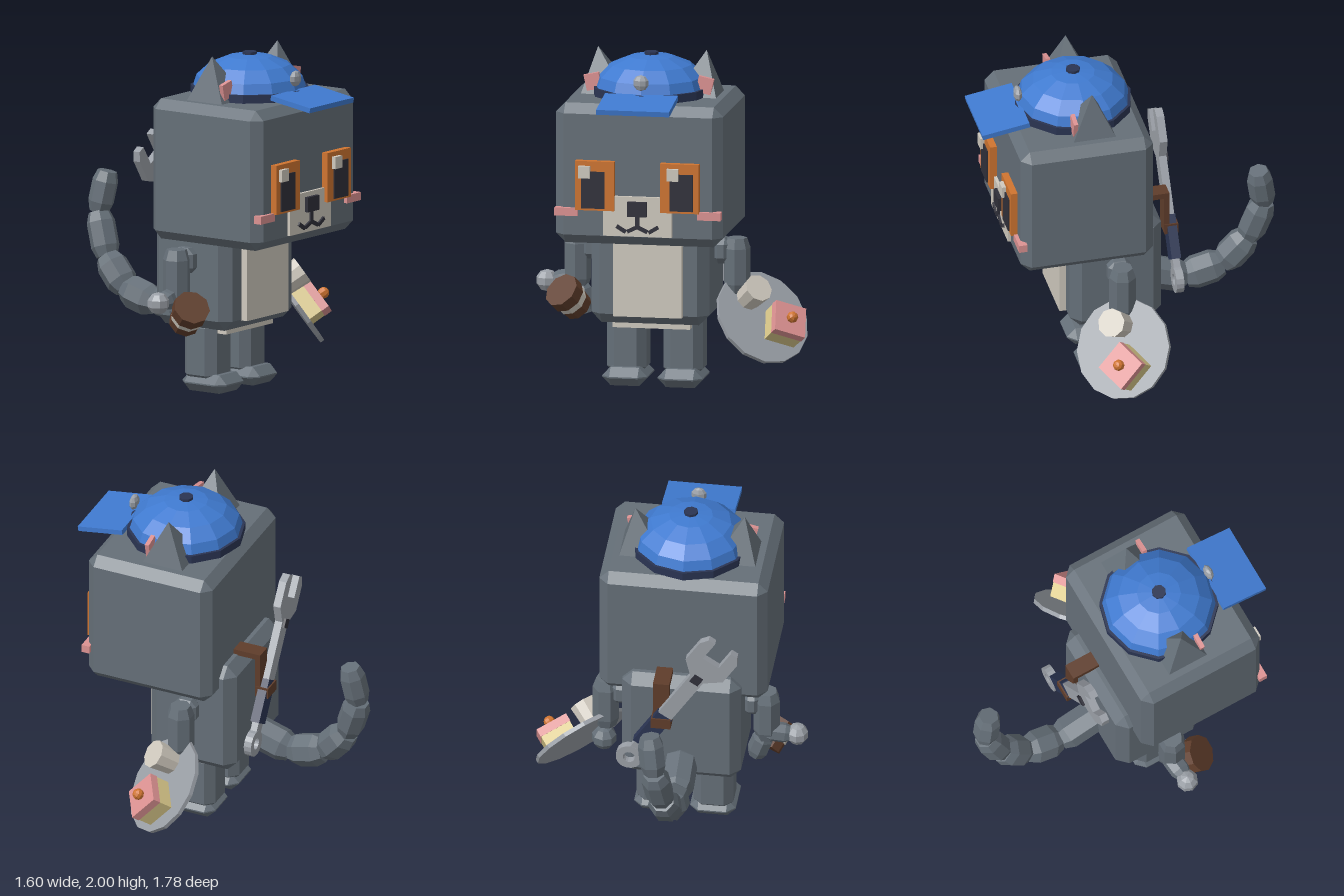
import * as THREE from 'three';
import { ConvexGeometry } from 'three/addons/geometries/ConvexGeometry.js';

const mat = (name, color) => {
  const m = new THREE.MeshStandardMaterial({ color, flatShading: true });
  m.name = name;
  return m;
};
const CX = -0.087; // middle of the body
const V = (x, y, z) => new THREE.Vector3(x, y, z);

export function createModel() {
  const M = {
    fur: mat('slate fur', 0x656f78), blue: mat('cap blue', 0x3f7ad0), navy: mat('navy', 0x2a3452),
    orange: mat('orange', 0xcf7430), dark: mat('charcoal', 0x30303a), cream: mat('cream', 0xcfc9be),
    pink: mat('pink', 0xdc9292), steel: mat('steel', 0x9a9fa6), brown: mat('brown', 0x5f3d2b),
    yellow: mat('sponge yellow', 0xdac98a),
  };
  const model = new THREE.Group();
  model.name = 'catFigure';

  const add = (name, geo, m, parent = model) => {
    const mesh = new THREE.Mesh(geo, m);
    mesh.name = name;
    parent.add(mesh);
    return mesh;
  };
  // Box given by its minimum and maximum corners
  const box = (name, m, a, b, parent) => {
    const mesh = add(name, new THREE.BoxGeometry(b[0] - a[0], b[1] - a[1], b[2] - a[2]), m, parent);
    mesh.position.set((a[0] + b[0]) / 2, (a[1] + b[1]) / 2, (a[2] + b[2]) / 2);
    return mesh;
  };
  // Box with every edge chamfered by c
  const chamferBox = (name, m, a, b, c) => {
    const h = a.map((v, i) => (b[i] - v) / 2), pts = [];
    for (const sx of [-1, 1]) for (const sy of [-1, 1]) for (const sz of [-1, 1])
      for (let k = 0; k < 3; k++) {
        const p = [sx, sy, sz].map((s, i) => s * (h[i] - (i === k ? 0 : c)));
        pts.push(V(...p));
      }
    const mesh = add(name, new ConvexGeometry(pts), m);
    mesh.position.set(...a.map((v, i) => v + h[i]));
    return mesh;
  };
  const orient = (mesh, from, dir) => {
    mesh.position.copy(from);
    mesh.quaternion.setFromUnitVectors(V(0, 1, 0), dir.clone().normalize());
    return mesh;
  };
  // Faceted limb segment with tapered ends
  const limb = (name, p, q, r, m = M.fur) => {
    const d = q.clone().sub(p), L = d.length(), c = Math.min(0.06, L * 0.25);
    const prof = [[0, 0], [r * 0.75, 0], [r, c], [r, L - c], [r * 0.75, L], [0, L]];
    const geo = new THREE.LatheGeometry(prof.map(([x, y]) => new THREE.Vector2(x, y)), 7);
    return orient(add(name, geo, m), p, d);
  };
  const ball = (name, m, x, y, z, r) => {
    const b = add(name, new THREE.SphereGeometry(r, 8, 5), m);
    b.position.set(x, y, z);
    return b;
  };

  // Head, body and belly
  chamferBox('head', M.fur, [-0.58, 0.915, -0.07], [0.405, 1.74, 0.72], 0.055);
  chamferBox('body', M.fur, [-0.435, 0.385, -0.155], [0.26, 1.09, 0.39], 0.06);
  box('bellyPatch', M.cream, [-0.29, 0.44, 0.38], [0.115, 0.95, 0.43]);
  box('underPatch', M.cream, [-0.315, 0.35, -0.04], [0.14, 0.4, 0.3]);

  for (const s of [-1, 1]) {
    const side = s > 0 ? 'left' : 'right';
    const X = (d) => CX + s * d;
    const span = (name, m, d0, d1, y0, y1, z0, z1, c) => {
      const x = [X(d0), X(d1)].sort((p, q) => p - q);
      return c ? chamferBox(name, m, [x[0], y0, z0], [x[1], y1, z1], c)
        : box(name, m, [x[0], y0, z0], [x[1], y1, z1]);
    };
    // Legs and feet
    span(side + 'Leg', M.fur, 0.05, 0.283, 0.05, 0.43, 0.005, 0.235, 0.05);
    span(side + 'Foot', M.fur, 0.03, 0.297, 0, 0.108, 0, 0.315, 0.05);
    // Arms
    span(side + 'Shoulder', M.fur, 0.33, 0.44, 0.72, 0.87, 0.05, 0.19, 0.035);
    limb(side + 'Arm', V(X(0.47), 0.54, 0.12), V(X(0.47), 0.87, 0.12), 0.08);
    // Eyes: frame, pupil, glint (pupils both look the same way)
    const ex = s < 0 ? -0.45 : 0.05, px = s < 0 ? -0.413 : 0.107;
    box(side + 'EyeFrame', M.orange, [ex, 1.125, 0.71], [ex + 0.228, 1.415, 0.76]);
    box(side + 'Pupil', M.dark, [px, 1.138, 0.75], [px + 0.137, 1.355, 0.769]);
    box(side + 'EyeGlint', M.cream, [px - 0.015, 1.317, 0.75], [px + 0.053, 1.388, 0.785]);
    span(side + 'Cheek', M.pink, 0.353, 0.49, 1.085, 1.132, 0.692, 0.742);
    // Mouth curve
    const lipA = box(side + 'InnerLip', M.dark, [X(0.03) - 0.032, 1.008, 0.735], [X(0.03) + 0.032, 1.03, 0.75]);
    lipA.rotation.z = -s * 0.45;
    const lipB = box(side + 'OuterLip', M.dark, [X(0.095) - 0.032, 1.008, 0.735], [X(0.095) + 0.032, 1.03, 0.75]);
    lipB.rotation.z = s * 0.55;
    // Ears: pyramids leaning outwards
    const ear = [V(X(0.32), 2, 0.265)];
    for (const d of [0.4, 0.14]) for (const z of [0.14, 0.395]) ear.push(V(X(d), 1.735, z));
    add(side + 'Ear', new ConvexGeometry(ear), M.fur);
    const inner = span(side + 'InnerEar', M.pink, 0.285, 0.375, 1.765, 1.86, 0.362, 0.388);
    inner.rotation.z = -s * 0.22;
  }

  // Muzzle
  box('muzzle', M.cream, [-0.29, 0.975, 0.71], [0.115, 1.21, 0.738]);
  box('nose', M.dark, [-0.143, 1.095, 0.72], [-0.03, 1.182, 0.76]);
  box('mouthLine', M.dark, [CX - 0.011, 1.02, 0.73], [CX + 0.011, 1.1, 0.75]);

  // Cap
  const HZ = 0.3;
  const band = add('capBand', new THREE.CylinderGeometry(0.345, 0.345, 0.05, 12), M.navy);
  band.position.set(CX, 1.763, HZ);
  const dome = add('capDome', new THREE.SphereGeometry(0.335, 12, 4, 0, Math.PI * 2, 0, Math.PI / 2), M.blue);
  dome.scale.y = 0.62;
  dome.position.set(CX, 1.768, HZ);
  const button = add('capButton', new THREE.CylinderGeometry(0.042, 0.042, 0.025, 8), M.navy);
  button.position.set(CX, 1.974, HZ);
  const visor = box('capVisor', M.blue, [-0.302, 1.739, 0.608], [0.128, 1.769, 0.892]);
  visor.rotation.x = 0.16;
  ball('capBadge', M.steel, CX, 1.862, 0.63, 0.047).scale.z = 0.55;

  // Tail
  const tail = [[-0.09, 0.52, -0.08], [-0.09, 0.43, -0.37], [-0.08, 0.49, -0.59], [-0.065, 0.66, -0.74],
    [-0.03, 0.91, -0.825], [0, 1.15, -0.785]].map((p) => V(...p));
  for (let i = 0; i < 5; i++) limb('tailSegment' + (i + 1), tail[i], tail[i + 1], [0.1, 0.1, 0.095, 0.085, 0.077][i]);
  const tip = [0.3, 0.97].map((t) => tail[4].clone().lerp(tail[5], t));
  limb('tailJoint', tip[0], tip[1], 0.06);

  // Tray with cup and cake, held by the left hand
  ball('leftHand', M.fur, 0.39, 0.47, 0.08, 0.075);
  const tray = new THREE.Group();
  tray.name = 'tray';
  orient(tray, V(0.537, 0.408, 0.15), V(1, 1, 1));
  model.add(tray);
  add('trayDisc', new THREE.CylinderGeometry(0.295, 0.295, 0.025, 14), M.steel, tray);
  add('cup', new THREE.CylinderGeometry(0.085, 0.075, 0.14, 9), M.cream, tray).position.set(-0.129, 0.08, -0.05);
  const cake = new THREE.Group();
  cake.name = 'cake';
  cake.position.set(0.122, 0, 0.007);
  cake.rotation.y = 0.37;
  tray.add(cake);
  box('sponge', M.yellow, [-0.095, 0.01, -0.095], [0.095, 0.1, 0.095], cake);
  box('icing', M.pink, [-0.098, 0.1, -0.098], [0.098, 0.15, 0.098], cake);
  add('berry', new THREE.SphereGeometry(0.034, 8, 6), M.orange, cake).position.y = 0.172;

  // Barrel mug in the right hand
  limb('rightForearm', V(-0.54, 0.6, 0.1), V(-0.7, 0.575, 0.12), 0.06);
  limb('rightHand', V(-0.55, 0.57, 0.12), V(-0.49, 0.4, 0.13), 0.065);
  ball('mugKnob', M.steel, -0.735, 0.578, 0.12, 0.066);
  const mug = new THREE.Group();
  mug.name = 'mug';
  orient(mug, V(-0.545, 0.44, 0.165), V(-0.095, 0.14, 0.14));
  model.add(mug);
  [['mugBase', M.brown, 0, 0.06, 0.092], ['mugBand', M.cream, 0.06, 0.11, 0.096], ['mugTop', M.brown, 0.11, 0.18, 0.108]]
    .forEach(([name, m, y0, y1, r]) => {
      add(name, new THREE.CylinderGeometry(r, r, y1 - y0, 9), m, mug).position.y = (y0 + y1) / 2;
    });

  // Wrench slung across the back
  const wrench = new THREE.Group();
  wrench.name = 'wrench';
  wrench.position.set(0.195, 0.605, -0.255);
  wrench.rotation.z = 0.583;
  model.add(wrench);
  const plate = (name, shape) => {
    const g = new THREE.ExtrudeGeometry(shape, { depth: 0.046, bevelEnabled: false, curveSegments: 8 });
    add(name, g.translate(0, 0, -0.023), M.steel, wrench);
  };
  const half = [[0.045, 0.34], [0.045, 0.72], [0.13, 0.8], [0.13, 0.95], [0.1, 1], [0.055, 1], [0.055, 0.87]];
  const outline = [...half, ...half.map(([x, y]) => [-x, y]).reverse()];
  plate('wrenchJaw', new THREE.Shape(outline.map(([x, y]) => new THREE.Vector2(x, y))));
  const ring = new THREE.Shape().absarc(0, 0, 0.078, 0, Math.PI * 2);
  ring.holes.push(new THREE.Path().absarc(0, 0, 0.035, 0, Math.PI * 2, true));
  plate('wrenchRing', ring);
  box('wrenchNeck', M.steel, [-0.035, 0.06, -0.02], [0.035, 0.14, 0.02], wrench);
  box('wrenchGrip', M.navy, [-0.05, 0.12, -0.028], [0.05, 0.38, 0.028], wrench);
  box('wrenchStud', M.dark, [-0.028, 0.69, -0.036], [0.028, 0.745, 0.02], wrench);

  // Holder strap
  box('strapTop', M.brown, [-0.035, 1.085, -0.24], [0.06, 1.12, -0.06]);
  box('strapDrop', M.brown, [-0.035, 0.87, -0.24], [0.06, 1.1, -0.208]);
  box('strapHook', M.brown, [-0.05, 0.84, -0.292], [0.065, 0.905, -0.21]);
  return model;
}
